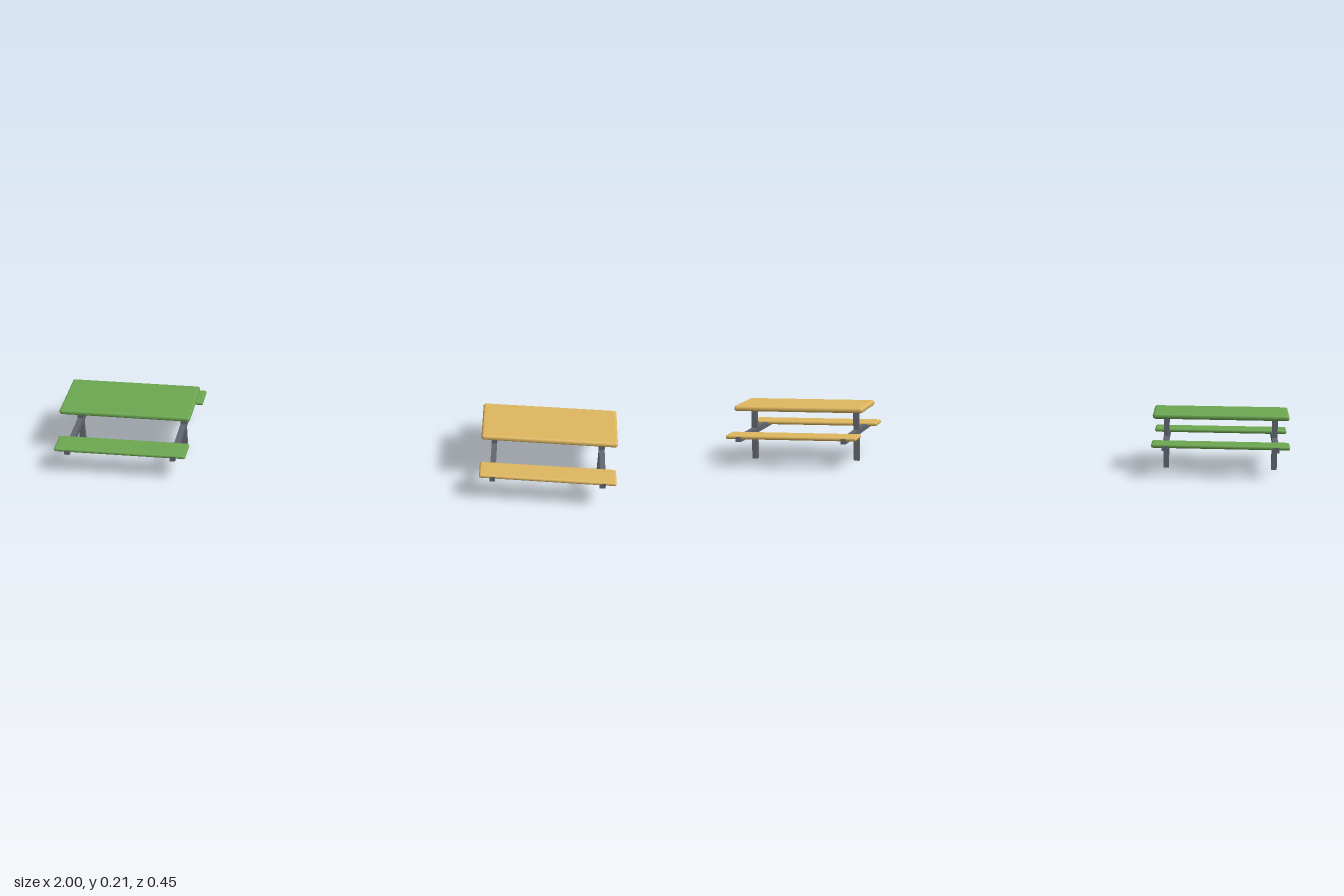
import * as THREE from 'three';
import { RoundedBoxGeometry } from 'three/addons/geometries/RoundedBoxGeometry.js';

const LENGTH = 0.478;

function addMesh(parent, name, geometry, material, x, y, z) {
  const mesh = new THREE.Mesh(geometry, material);
  mesh.name = name;
  mesh.position.set(x, y, z);
  parent.add(mesh);
}

function createTable(name, color) {
  const table = new THREE.Group();
  table.name = name;
  const board = new THREE.MeshStandardMaterial({ color });
  const steel = new THREE.MeshStandardMaterial({ color: 0x63666f });

  // Table top with rounded edges
  addMesh(table, 'tableTop', new RoundedBoxGeometry(LENGTH, 0.02, 0.22, 4, 0.009), board, 0, 0.201, 0);

  // Bench seats, front and back, resting over the beam ends
  for (const side of [1, -1]) {
    addMesh(table, side > 0 ? 'frontSeat' : 'backSeat',
      new RoundedBoxGeometry(LENGTH, 0.015, 0.087, 4, 0.007), board, 0, 0.1137, side * 0.18);
  }

  // Post and cross beam at each end
  for (const side of [1, -1]) {
    const frame = new THREE.Group();
    frame.name = side > 0 ? 'leftFrame' : 'rightFrame';
    frame.position.x = side * 0.192;
    addMesh(frame, 'post', new THREE.BoxGeometry(0.02, 0.195, 0.02), steel, 0, 0.0975, 0);
    addMesh(frame, 'crossBeam', new THREE.BoxGeometry(0.02, 0.0187, 0.447), steel, 0, 0.1058, 0);
    table.add(frame);
  }
  return table;
}

export function createModel() {
  const model = new THREE.Group();
  model.name = 'picnicTables';
  const left = createTable('yellowTable', 0xdeb75f);
  const right = createTable('greenTable', 0x6ca750);
  left.position.x = 0.761;
  right.position.x = -0.761;
  model.add(left, right);
  return model;
}
